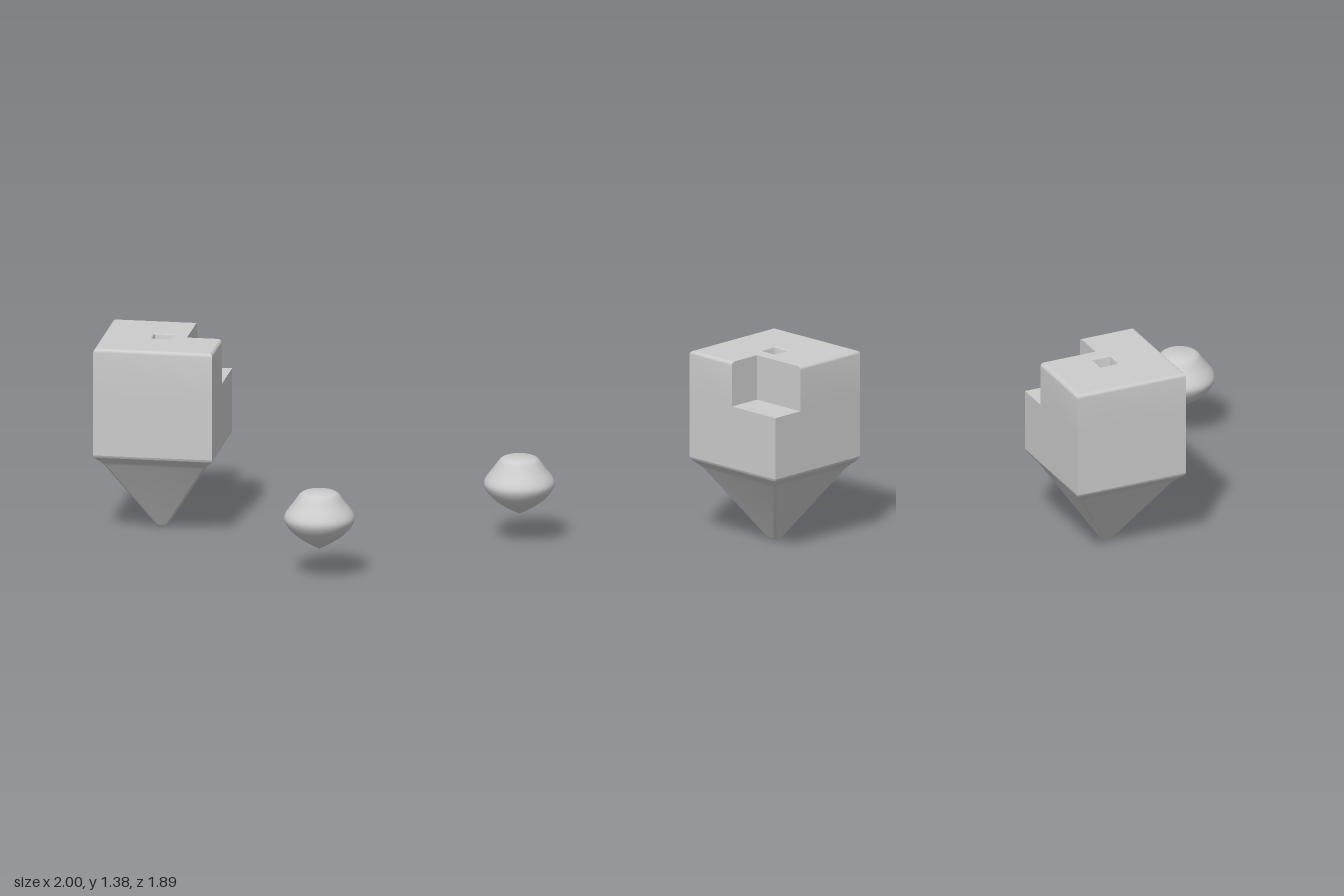
import * as THREE from 'three';
import { toCreasedNormals } from 'three/addons/utils/BufferGeometryUtils.js';

const H = 0.425;             // half width of the block
const NX = 0.175, NZ = 0.005; // inner corner of the notch
const NOTCH_Y = 1.05, TOP = 1.375;

// Outlines run +x -> +z when seen from above, as [x, z] pairs.
const square = (h) => [[h, -h], [h, h], [-h, h], [-h, -h]];
const notched = (h) => [[h, NZ], [h, h], [-h, h], [-h, -h], [NX, -h], [NX, NZ]];
const cutSquare = (h, c) => [
  [h, c - h], [h, h - c], [h - c, h], [c - h, h],
  [-h, h - c], [-h, c - h], [c - h, -h], [h - c, -h],
];

// Walls between stacked outlines, each given as { y, pts }, bottom to top.
function loft(rings, crease = 0.6) {
  const pos = [];
  for (let r = 0; r < rings.length - 1; r++) {
    const a = rings[r], b = rings[r + 1], n = a.pts.length;
    for (let i = 0; i < n; i++) {
      const j = (i + 1) % n;
      const p = (ring, k) => [ring.pts[k][0], ring.y, ring.pts[k][1]];
      pos.push(...p(a, i), ...p(b, i), ...p(b, j), ...p(a, i), ...p(b, j), ...p(a, j));
    }
  }
  const g = new THREE.BufferGeometry();
  g.setAttribute('position', new THREE.Float32BufferAttribute(pos, 3));
  return toCreasedNormals(g, crease);
}

// Flat horizontal face from an outline, with an optional hole.
function flat(pts, y, hole) {
  const toVec = (list) => list.map(([x, z]) => new THREE.Vector2(x, -z));
  const shape = new THREE.Shape(toVec(pts));
  if (hole) shape.holes.push(new THREE.Path(toVec(hole)));
  return new THREE.ShapeGeometry(shape).rotateX(-Math.PI / 2).translate(0, y, 0);
}

export function createModel() {
  const model = new THREE.Group();
  const material = new THREE.MeshStandardMaterial({ color: 0xcccccc, side: THREE.DoubleSide });
  const add = (parent, name, geometry) => {
    const mesh = new THREE.Mesh(geometry, material);
    mesh.name = name;
    parent.add(mesh);
    return mesh;
  };

  const top = new THREE.Group();
  top.name = 'spinningTop';
  top.position.set(-0.575, 0, -0.525);
  model.add(top);

  // Tapered foot with softened edges: y, half width, corner cut
  const foot = [
    [0, 0.03, 0.012], [0.006, 0.039, 0.015], [0.02, 0.048, 0.015],
    [0.515, 0.36, 0.018], [0.535, 0.375, 0.014], [0.565, 0.405, 0.006],
    [0.582, 0.419, 0.002], [0.6, H, 0],
  ];
  add(top, 'taperedFoot', loft(foot.map(([y, h, c]) => ({ y, pts: cutSquare(h, c) }))));
  add(top, 'footTip', flat(cutSquare(0.03, 0.012), 0).scale(1, -1, 1));

  // Cube body up to the notch floor
  add(top, 'body', loft([{ y: 0.6, pts: square(H) }, { y: NOTCH_Y, pts: square(H) }]));
  add(top, 'notchFloor', flat([[NX, -H], [NX, NZ], [H, NZ], [H, -H]], NOTCH_Y));

  // Notched upper body with rounded outer top edges
  const upper = [{ y: NOTCH_Y, pts: notched(H) }];
  const R = 0.027;
  for (let i = 0; i <= 5; i++) {
    const a = (i / 5) * Math.PI / 2;
    upper.push({ y: TOP - R + R * Math.sin(a), pts: notched(H - R + R * Math.cos(a)) });
  }
  add(top, 'upperBody', loft(upper));
  add(top, 'topFace', flat(notched(H - R), TOP, square(0.076)));

  // Square socket for the handle
  add(top, 'socketWalls', loft([
    { y: TOP, pts: square(0.076) }, { y: TOP - 0.004, pts: square(0.07) },
    { y: TOP - 0.012, pts: square(0.067) }, { y: TOP - 0.3, pts: square(0.067) },
  ].reverse().map(({ y, pts }) => ({ y, pts: pts.slice().reverse() }))));
  add(top, 'socketFloor', flat(square(0.067), TOP - 0.3));

  // Separate round knob with a pointed underside
  const profile = [
    [0.012, 0.212], [0.06, 0.238], [0.115, 0.272], [0.165, 0.307], [0.205, 0.345],
    [0.235, 0.385], [0.25, 0.425], [0.242, 0.46], [0.215, 0.5], [0.185, 0.538],
    [0.15, 0.588], [0.132, 0.608], [0.108, 0.62],
  ].map(([x, y]) => new THREE.Vector2(x, y));
  const curve = new THREE.SplineCurve(profile).getPoints(36);
  const outline = [new THREE.Vector2(0, 0.206), ...curve, new THREE.Vector2(0, 0.621)];
  const knob = add(model, 'roundKnob', toCreasedNormals(new THREE.LatheGeometry(outline, 64), 0.6));
  knob.position.set(0.75, 0, 0.695);

  return model;
}
